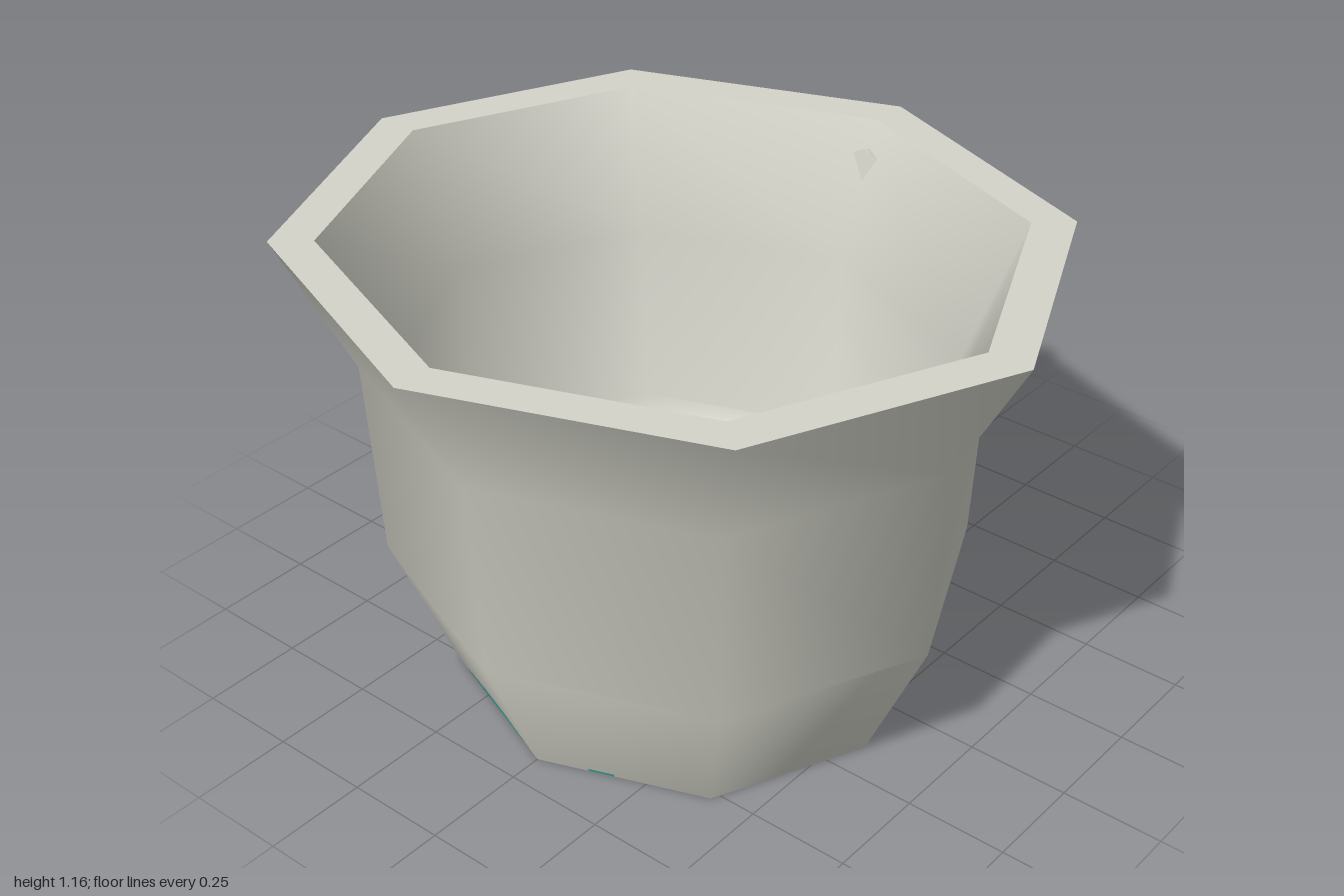
import * as THREE from 'three';

const CX = -0.16;      // cup axis
const DEPTH = 1.094;   // the octagon is slightly deeper in z than in x
const SIDES = 8;

// Eight-sided cup wall as [radius, height, crease], from the inner floor over the rim to the underside
const PROFILE = [
  [0, 0.17], [0.33, 0.135], [0.455, 0.08], [0.605, 0.36], [0.62, 0.83],
  [0.745, 1.16, true], [0.842, 1.16, true],
  [0.68, 0.84], [0.655, 0.35], [0.51, 0, true], [0.365, 0.055], [0, 0.1],
];

// Ring of seven large ovals with small slivers between them
function inRing(x, z, size) {
  const u = x / size, v = (z / DEPTH + 0.018) / size;
  const rho = Math.hypot(u, v);
  const step = Math.PI * 2 / 7;
  const angle = Math.atan2(-v, u) - THREE.MathUtils.degToRad(24);
  const a = angle - Math.round(angle / step) * step;
  const b = step / 2 - Math.abs(a);
  const outer = 1 + 0.015 * Math.cos(a * 7);
  const inner = 0.69 + 0.02 * Math.cos(a * 7);
  if (rho > outer || rho < inner) return false;
  const oval = (a / 0.34) ** 2 + ((rho - 0.845 - a * 0.06) / 0.085) ** 2 < 1;
  const sliver = (b / 0.17) ** 2 + ((rho - 0.79) / 0.035) ** 2 < 1;
  return !oval && !sliver;
}

function cupGeometry() {
  const position = [], normal = [], plain = [], painted = [];

  const bandNormal = (k) => {
    const [r0, y0] = PROFILE[k], [r1, y1] = PROFILE[k + 1];
    return new THREE.Vector2(y0 - y1, r1 - r0).normalize();
  };
  // Profile normal at point p for band k, averaged with the neighbour unless creased
  const pointNormal = (p, k) => {
    if (PROFILE[p][0] === 0) return new THREE.Vector2(0, p === 0 ? 1 : -1);
    const n = bandNormal(k);
    if (!PROFILE[p][2]) n.add(bandNormal(p === k ? k - 1 : k + 1)).normalize();
    return n;
  };

  for (let k = 0; k < PROFILE.length - 1; k++) {
    const [r0, y0] = PROFILE[k], [r1, y1] = PROFILE[k + 1];
    const n0 = pointNormal(k, k), n1 = pointNormal(k + 1, k);
    const hasRing = y0 < 0.4 && y1 < 0.4;
    const rows = hasRing ? 40 : 1, cols = hasRing ? 20 : 1;
    const ringSize = k < 5 ? 0.47 : 0.487;

    for (let s = 0; s < SIDES; s++) {
      const t0 = s * Math.PI / 4, t1 = (s + 1) * Math.PI / 4;
      const start = position.length / 3;
      for (let i = 0; i <= rows; i++) {
        const f = i / rows;
        const r = r0 + (r1 - r0) * f, y = y0 + (y1 - y0) * f;
        const n = n0.clone().lerp(n1, f);
        for (let j = 0; j <= cols; j++) {
          const g = j / cols;
          const c = Math.cos(t0) * (1 - g) + Math.cos(t1) * g;
          const d = Math.sin(t0) * (1 - g) + Math.sin(t1) * g;
          position.push(r * c, y, r * d * DEPTH);
          normal.push(...new THREE.Vector3(n.x * c, n.y, n.x * d / DEPTH).normalize().toArray());
        }
      }
      for (let i = 0; i < rows; i++) {
        for (let j = 0; j < cols; j++) {
          const a = start + i * (cols + 1) + j, b = a + cols + 1;
          const x = (position[a * 3] + position[b * 3 + 3]) / 2;
          const z = (position[a * 3 + 2] + position[b * 3 + 5]) / 2;
          const target = hasRing && inRing(x, z, ringSize) ? painted : plain;
          target.push(a, a + 1, b, a + 1, b + 1, b);
        }
      }
    }
  }

  const geometry = new THREE.BufferGeometry();
  geometry.setAttribute('position', new THREE.Float32BufferAttribute(position, 3));
  geometry.setAttribute('normal', new THREE.Float32BufferAttribute(normal, 3));
  geometry.setIndex(plain.concat(painted));
  geometry.addGroup(0, plain.length, 0);
  geometry.addGroup(plain.length, painted.length, 1);
  return geometry;
}

export function createModel() {
  const ceramic = new THREE.MeshStandardMaterial({ color: 0xd4d4ca });
  ceramic.name = 'grey ceramic';
  const teal = new THREE.MeshStandardMaterial({ color: 0x46b2a5 });
  teal.name = 'teal glaze';

  const model = new THREE.Group();
  model.name = 'cup';

  const body = new THREE.Mesh(cupGeometry(), [ceramic, teal]);
  body.name = 'cupBody';
  body.position.x = CX;
  model.add(body);

  // Handle: a coarse tube whose rings sit exactly on the path points
  const path = [
    [0.535, 1.04], [0.675, 1.017], [0.835, 0.905], [0.912, 0.79], [0.942, 0.685],
    [0.902, 0.535], [0.822, 0.38], [0.63, 0.282], [0.388, 0.245],
  ].map(([x, y]) => new THREE.Vector3(x, y, 0));
  const curve = new THREE.CatmullRomCurve3(path);
  curve.getPointAt = curve.getPoint;
  curve.getTangentAt = curve.getTangent;
  const handle = new THREE.Group();
  handle.name = 'handle';
  const tube = new THREE.Mesh(new THREE.TubeGeometry(curve, path.length - 1, 0.057, 8), ceramic);
  tube.name = 'handleLoop';
  handle.add(tube);

  // Caps closing the two handle ends inside the cup
  for (const [t, sign, name] of [[0, -1, 'upperHandleEnd'], [1, 1, 'lowerHandleEnd']]) {
    const cap = new THREE.Mesh(new THREE.CircleGeometry(0.057, 8), ceramic);
    cap.name = name;
    cap.position.copy(curve.getPoint(t));
    cap.quaternion.setFromUnitVectors(new THREE.Vector3(0, 0, 1), curve.getTangent(t).multiplyScalar(sign));
    handle.add(cap);
  }
  model.add(handle);
  return model;
}
